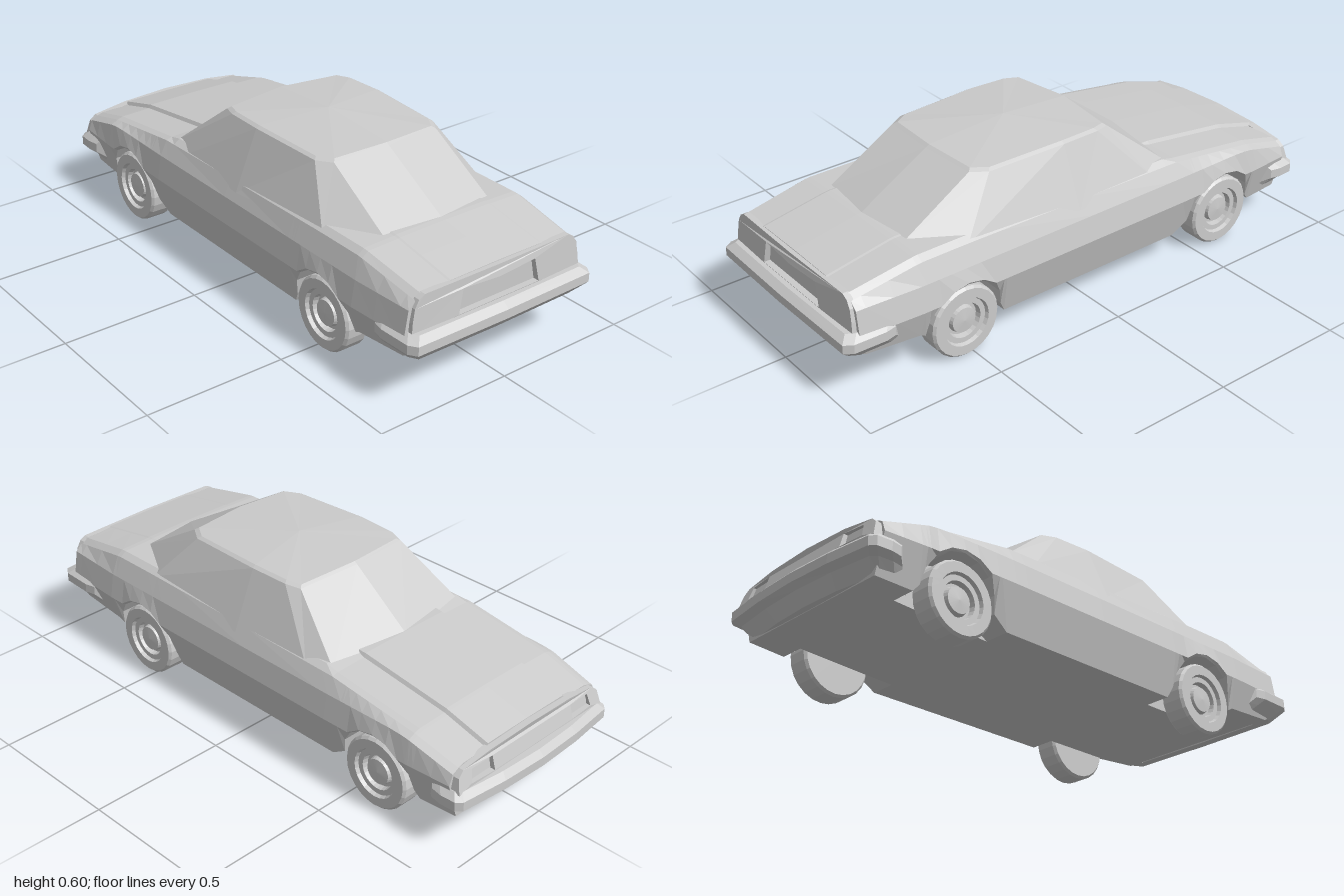
import * as THREE from 'three';

const material = new THREE.MeshStandardMaterial({ color: 0xcccccc, flatShading: true, side: THREE.DoubleSide });

function addMesh(parent, name, geometry) {
  const mesh = new THREE.Mesh(geometry, material);
  mesh.name = name;
  parent.add(mesh);
  return mesh;
}

// Complete a half ring (x >= 0, both ends on the centre plane) with its mirror image
function mirrorRing(half) {
  return [...half, ...half.slice(1, -1).reverse().map(([x, y, z]) => [-x, y, z])];
}

// Skin a series of closed rings, closing each end with a fan to a given point
function loft(rings, startPoint, endPoint) {
  const positions = [];
  const n = rings[0].length;
  for (let r = 0; r < rings.length - 1; r++) {
    for (let i = 0; i < n; i++) {
      const j = (i + 1) % n;
      const a = rings[r][i], b = rings[r][j], c = rings[r + 1][j], d = rings[r + 1][i];
      positions.push(...a, ...b, ...c, ...a, ...c, ...d);
    }
  }
  const first = rings[0], last = rings[rings.length - 1];
  for (let i = 0; i < n; i++) {
    const j = (i + 1) % n;
    if (startPoint) positions.push(...startPoint, ...first[j], ...first[i]);
    if (endPoint) positions.push(...endPoint, ...last[i], ...last[j]);
  }
  const geometry = new THREE.BufferGeometry();
  geometry.setAttribute('position', new THREE.Float32BufferAttribute(positions, 3));
  geometry.computeVertexNormals();
  return geometry;
}

// Linear lookup in a table of [z, value]
function lookup(table, z) {
  for (let i = 1; i < table.length; i++) {
    const [z0, v0] = table[i - 1], [z1, v1] = table[i];
    if (z <= z1) return v0 + (v1 - v0) * Math.max(0, (z - z0) / (z1 - z0));
  }
  return table[table.length - 1][1];
}

const AXLES = [-0.61, 0.53];
const ARCH_Y = 0.135, ARCH_R = 0.15;
const TOP = [[-0.92, 0.322], [-0.75, 0.368], [-0.4, 0.415], [0.5, 0.43], [0.69, 0.43], [0.935, 0.386]];
const FLOOR = [[-0.92, 0.115], [-0.78, 0.11], [-0.42, 0.095], [0.66, 0.095], [0.68, 0.145], [0.9, 0.16], [0.935, 0.18]];
const WIDTH = [[-0.92, 0.955], [-0.75, 0.985], [-0.4, 1], [0.7, 1], [0.935, 0.965]];

// Body cross-section: floor, wheel well, sill, flank, shoulder, deck
function bodySection(z) {
  const top = lookup(TOP, z), floor = lookup(FLOOR, z), w = lookup(WIDTH, z);
  let sill = floor;
  for (const axle of AXLES) {
    const d = Math.abs(z - axle);
    if (d <= ARCH_R + 1e-6) sill = ARCH_Y + Math.sqrt(Math.max(0, ARCH_R ** 2 - d * d));
  }
  const crease = z < -0.35 ? 0.012 : 0.002;
  return mirrorRing([
    [0, floor, z],
    [0.24, floor, z],
    [0.24, sill, z],
    [(0.335 + (sill - 0.1) * 0.21) * w, sill, z],
    [0.38 * w, Math.max(0.25, sill + 0.008), z],
    [0.365 * w, Math.min(0.34, top - 0.035), z],
    [0.338 * w, top - 0.022, z],
    [0.315 * w, top - crease - 0.003, z],
    [0.195, top - crease, z],
    [0.187, top, z],
    [0, top + 0.002, z],
  ]);
}

function bodyGeometry() {
  const stations = [-0.92, -0.85, -0.78, -0.4, -0.35, 0, 0.36, 0.7, 0.8, 0.9, 0.935];
  for (const axle of AXLES) {
    for (let i = 0; i <= 8; i++) stations.push(axle + ARCH_R * Math.cos((i * Math.PI) / 8));
  }
  stations.sort((a, b) => a - b);
  return loft(stations.map(bodySection), [0, 0.22, -0.92], [0, 0.27, 0.935]);
}

// Cabin: waist ring, roof-edge ring, then a shallow crown
function cabinGeometry() {
  const waist = [[0, 0.426, 0.69], [0.22, 0.422, 0.665], [0.335, 0.4, 0.5], [0.352, 0.37, 0.05],
    [0.342, 0.38, -0.28], [0.31, 0.395, -0.375], [0, 0.412, -0.405]];
  const roof = [[0, 0.582, 0.42], [0.215, 0.578, 0.405], [0.25, 0.576, 0.35], [0.264, 0.582, 0.05],
    [0.258, 0.58, -0.1], [0.24, 0.576, -0.155], [0, 0.584, -0.178]];
  const edge = roof.map(([x, y, z]) => [x * 0.95, y + 0.008, 0.1 + (z - 0.1) * 0.96]);
  return loft([waist, roof, edge].map(mirrorRing), null, [0, 0.607, 0.1]);
}

// Sweep a bumper section of [inset, y] around a half plan path of [x, z]
function bumperGeometry(path, section) {
  const dir = Math.sign(path[0][1]);
  let plan = [...path, ...path.slice(0, -1).reverse().map(([x, z]) => [-x, z])];
  if (dir < 0) plan = plan.reverse();
  const rings = plan.map(([x, z]) => section.map(([inset, y]) => [x * (1 - inset * 2.6), y, z - dir * inset]));
  const middle = (ring) => [0, 1, 2].map((k) => ring.reduce((sum, p) => sum + p[k], 0) / ring.length);
  return loft(rings, middle(rings[0]), middle(rings[rings.length - 1]));
}

// End panel with openings; its outer face leans and bows
function panelGeometry(half, holes, base, depth, top, lean, bow) {
  const outline = [...half, ...half.slice(0, -1).reverse().map(([x, y]) => [-x, y])];
  const shape = new THREE.Shape(outline.map(([x, y]) => new THREE.Vector2(x, y)));
  for (const hole of holes) shape.holes.push(new THREE.Path(hole.map(([x, y]) => new THREE.Vector2(x, y))));
  const geometry = new THREE.ExtrudeGeometry(shape, { depth, bevelEnabled: false });
  const p = geometry.attributes.position;
  for (let i = 0; i < p.count; i++) {
    const outer = p.getZ(i) > 0;
    p.setZ(i, base + p.getZ(i) + (outer ? lean * (top - p.getY(i)) - bow * p.getX(i) ** 2 : 0));
  }
  geometry.computeVertexNormals();
  return geometry;
}

// Tyre, stepped rim and hub in one turned profile
function wheelGeometry() {
  const profile = [[0, -0.045], [0.122, -0.045], [0.13, -0.036], [0.13, 0.036], [0.122, 0.045], [0.088, 0.045],
    [0.083, 0.032], [0.064, 0.032], [0.06, 0.012], [0.05, 0.012], [0.045, 0.03], [0, 0.034]];
  return new THREE.LatheGeometry(profile.map(([r, y]) => new THREE.Vector2(r, y)), 24);
}

export function createModel() {
  const car = new THREE.Group();
  car.name = 'car';
  addMesh(car, 'body', bodyGeometry());
  addMesh(car, 'cabin', cabinGeometry());

  // Bumpers
  addMesh(car, 'bootBumper', bumperGeometry(
    [[0.375, 0.81], [0.384, 0.85], [0.38, 0.965], [0.36, 0.995], [0, 1]],
    [[0.09, 0.16], [0.045, 0.165], [0.02, 0.192], [0, 0.214], [0, 0.246], [0.025, 0.266], [0.09, 0.266]]));
  addMesh(car, 'bonnetBumper', bumperGeometry(
    [[0.37, -0.86], [0.378, -0.9], [0.375, -0.955], [0.355, -0.974], [0.18, -0.993], [0, -1]],
    [[0.09, 0.115], [0.06, 0.12], [0.025, 0.165], [0, 0.182], [0, 0.215], [0.02, 0.236], [0.09, 0.238]]));

  // Tail panel with a recess between the lamps
  addMesh(car, 'tailPanel', panelGeometry(
    [[0.352, 0.25], [0.347, 0.3], [0.338, 0.345], [0.322, 0.372], [0.3, 0.384], [0, 0.386]],
    [[[-0.168, 0.268], [0.168, 0.268], [0.15, 0.352], [0, 0.342], [-0.15, 0.352]]],
    0.925, 0.027, 0.386, 0.06, 0.06));

  // Nose panel with two headlight openings
  const opening = [[0.195, 0.246], [0.298, 0.246], [0.288, 0.29], [0.195, 0.295]];
  const nose = panelGeometry(
    [[0.355, 0.228], [0.345, 0.28], [0.322, 0.3], [0.19, 0.316], [0, 0.322]],
    [opening, opening.map(([x, y]) => [-x, y])], 0.91, 0.034, 0.322, 0.28, 0.12);
  addMesh(car, 'nosePanel', nose.rotateY(Math.PI));

  // Wheels and headlights in mirrored pairs
  const wheel = wheelGeometry();
  for (const side of [-1, 1]) {
    const lens = addMesh(car, 'headlight', new THREE.BoxGeometry(0.1, 0.046, 0.02));
    lens.position.set(side * 0.244, 0.269, -0.927);
    lens.rotation.x = 0.2;
    for (const axle of AXLES) {
      const mesh = addMesh(car, 'wheel', wheel);
      mesh.position.set(side * 0.315, 0.132, axle);
      mesh.rotation.z = (-side * Math.PI) / 2;
    }
  }
  return car;
}
